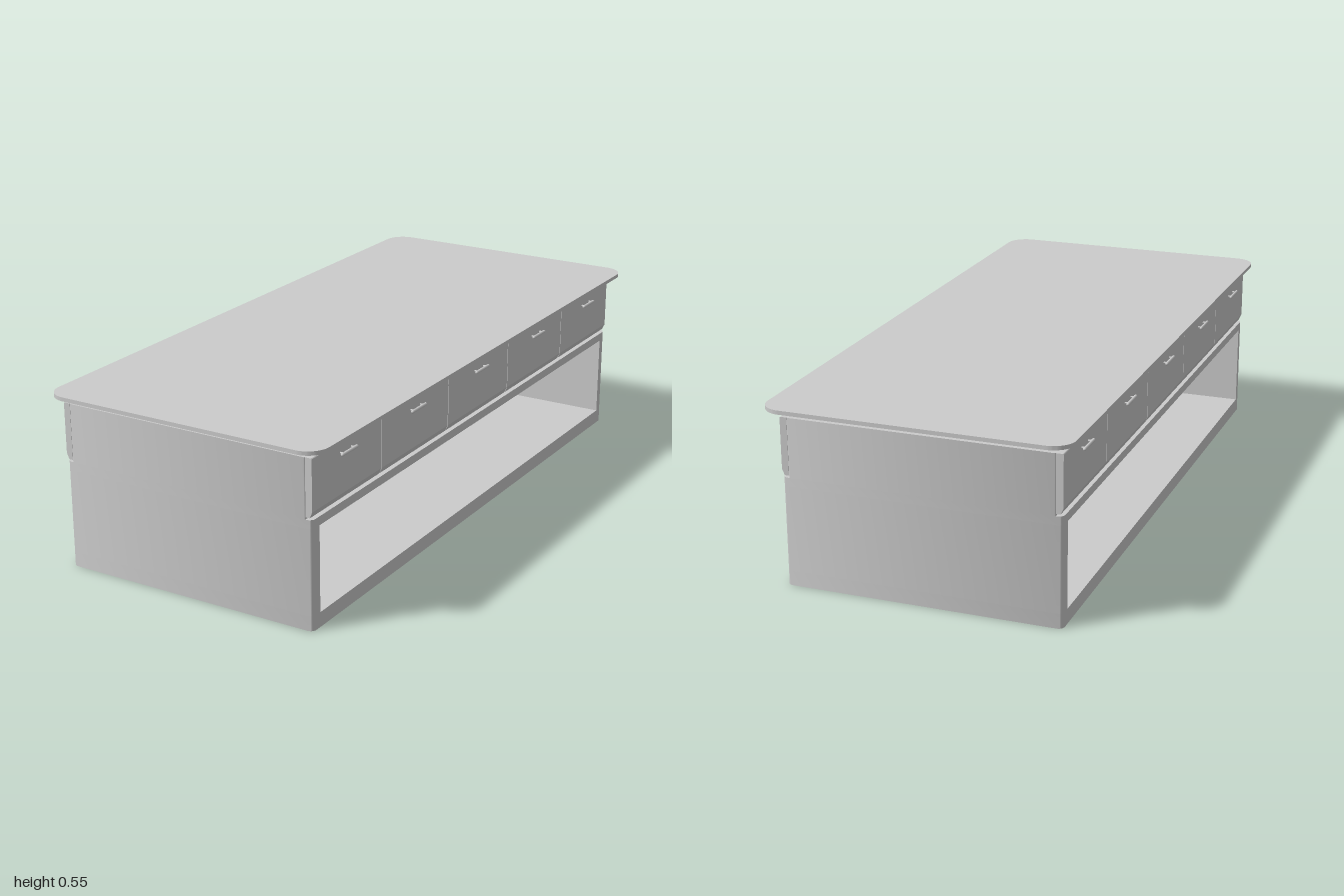
import * as THREE from 'three';
import { toCreasedNormals } from 'three/addons/utils/BufferGeometryUtils.js';

const material = new THREE.MeshStandardMaterial({ color: 0xcccccc });

function add(parent, name, geometry, x = 0, y = 0, z = 0) {
  const mesh = new THREE.Mesh(geometry, material);
  mesh.name = name;
  mesh.position.set(x, y, z);
  parent.add(mesh);
  return mesh;
}

// Plan outline from z0 to z1; near and far corners have their own radius.
function outline(hw, z0, z1, r0, r1) {
  const s = new THREE.Shape();
  s.moveTo(-hw + r0, z0);
  s.lineTo(hw - r0, z0);
  if (r0) s.absarc(hw - r0, z0 + r0, r0, -Math.PI / 2, 0);
  s.lineTo(hw, z1 - r1);
  if (r1) s.absarc(hw - r1, z1 - r1, r1, 0, Math.PI / 2);
  s.lineTo(-hw + r1, z1);
  if (r1) s.absarc(-hw + r1, z1 - r1, r1, Math.PI / 2, Math.PI);
  s.lineTo(-hw, z0 + r0);
  if (r0) s.absarc(-hw + r0, z0 + r0, r0, Math.PI, Math.PI * 1.5);
  return s;
}

// Upright slab: a plan outline raised from y0 to y1.
function slab(shape, y0, y1) {
  const g = new THREE.ExtrudeGeometry(shape, { depth: y1 - y0, bevelEnabled: false, curveSegments: 10 });
  g.rotateX(Math.PI / 2).translate(0, y1, 0);
  return toCreasedNormals(g, 0.6);
}

const rounded = (hw, hd, r) => outline(hw, -hd, hd, r, r);

// Drawer front: side profile with a slanted finger lip, run along z.
function drawerFront(length) {
  const s = new THREE.Shape();
  s.moveTo(0.397, 0.337);
  s.lineTo(0.41, 0.337);
  s.lineTo(0.418, 0.355);
  s.lineTo(0.418, 0.508);
  s.lineTo(0.416, 0.51);
  s.lineTo(0.397, 0.51);
  const g = new THREE.ExtrudeGeometry(s, { depth: length, bevelEnabled: false });
  return g.translate(0, 0, -length / 2);
}

function handle() {
  const group = new THREE.Group();
  group.name = 'handle';
  const bar = new THREE.CapsuleGeometry(0.005, 0.075, 4, 10).rotateX(Math.PI / 2);
  add(group, 'handleBar', bar, 0.43, 0.477, 0);
  for (const z of [-0.028, 0.028]) {
    const post = new THREE.CylinderGeometry(0.003, 0.003, 0.014, 10).rotateZ(Math.PI / 2);
    add(group, 'handlePost', post, 0.422, 0.477, z);
  }
  return group;
}

export function createModel() {
  const model = new THREE.Group();
  model.name = 'storageIsland';

  // Overhanging top
  add(model, 'countertop', slab(rounded(0.455, 1, 0.065), 0.534, 0.546));

  const cabinet = new THREE.Group();
  cabinet.name = 'cabinet';
  cabinet.position.x = -0.007;
  model.add(cabinet);

  // Recessed plinth under the top, and the core behind the drawers
  add(cabinet, 'riser', slab(rounded(0.381, 0.915, 0.01), 0.51, 0.534));
  add(cabinet, 'drawerCore', slab(rounded(0.397, 0.955, 0.004), 0.331, 0.51));

  // Lower carcass with an open shelf on each long side
  add(cabinet, 'base', slab(rounded(0.418, 0.955, 0.018), 0, 0.045));
  add(cabinet, 'shelfCeiling', slab(rounded(0.418, 0.955, 0.018), 0.305, 0.331));
  add(cabinet, 'divider', new THREE.BoxGeometry(0.02, 0.26, 1.83), 0, 0.175, 0);
  const endWall = slab(outline(0.418, 0.917, 0.955, 0, 0.018), 0.045, 0.305);
  for (const turn of [0, Math.PI]) add(cabinet, 'endWall', endWall, 0, 0, 0).rotation.y = turn;

  // Five drawers on each long side
  const seams = [-0.955, -0.587, -0.196, 0.196, 0.587, 0.955];
  const handles = [-0.78, -0.395, 0, 0.395, 0.78];
  for (const turn of [0, Math.PI]) {
    const row = new THREE.Group();
    row.name = 'drawerRow';
    row.rotation.y = turn;
    cabinet.add(row);
    handles.forEach((z, i) => {
      const a = seams[i], b = seams[i + 1];
      add(row, 'drawerFront', drawerFront(b - a - 0.003), 0, 0, (a + b) / 2);
      const pull = handle();
      pull.position.z = z;
      row.add(pull);
    });
  }
  return model;
}
